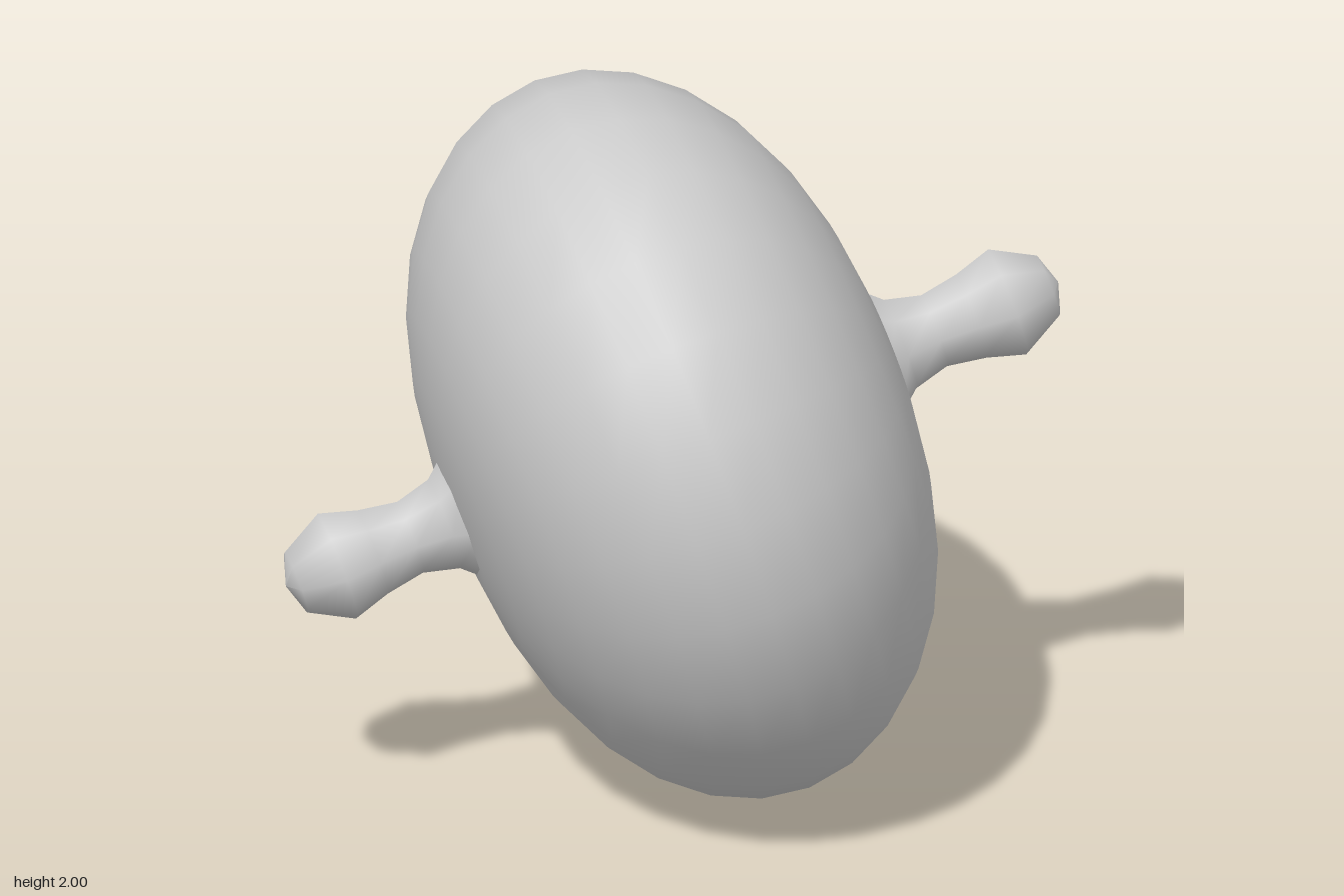
import * as THREE from 'three';

const RADIUS = 1.035; // disc radius across the axis
const AXIS = new THREE.Vector3(0.582, 0.306, -0.754).normalize();

function lathe(name, points, sides, material) {
  const mesh = new THREE.Mesh(
    new THREE.LatheGeometry(points.map(([r, t]) => new THREE.Vector2(r, t)), sides),
    material
  );
  mesh.name = name;
  return mesh;
}

export function createModel() {
  const material = new THREE.MeshStandardMaterial({ color: 0xcccccc });
  const model = new THREE.Group();
  model.name = 'knobbedDisc';

  // Everything is turned around one tilted axis
  const tilted = new THREE.Group();
  tilted.name = 'tiltedBody';
  tilted.position.y = 1;
  tilted.quaternion.setFromUnitVectors(new THREE.Vector3(0, 1, 0), AXIS);
  model.add(tilted);

  // Flattened round body, slightly flatter towards its poles
  const profile = [];
  const rows = 16;
  for (let i = 0; i <= rows; i++) {
    const a = (i / rows - 0.5) * Math.PI;
    const height = 0.68 - 0.04 * Math.sin(a) ** 4;
    const r = i === 0 || i === rows ? 0 : RADIUS * Math.cos(a);
    profile.push([r, height * Math.sin(a)]);
  }
  tilted.add(lathe('body', profile, 24, material));

  // A flared neck and a faceted round knob at each pole
  const knobProfile = [
    [0.2, 0.6], [0.135, 0.67], [0.108, 0.77], [0.127, 0.88],
    [0.16, 0.985], [0.092, 1.105], [0, 1.135],
  ];
  for (const [name, turn] of [['backKnob', 0], ['frontKnob', Math.PI]]) {
    const knob = lathe(name, knobProfile, 8, material);
    knob.rotation.x = turn;
    tilted.add(knob);
  }
  return model;
}
